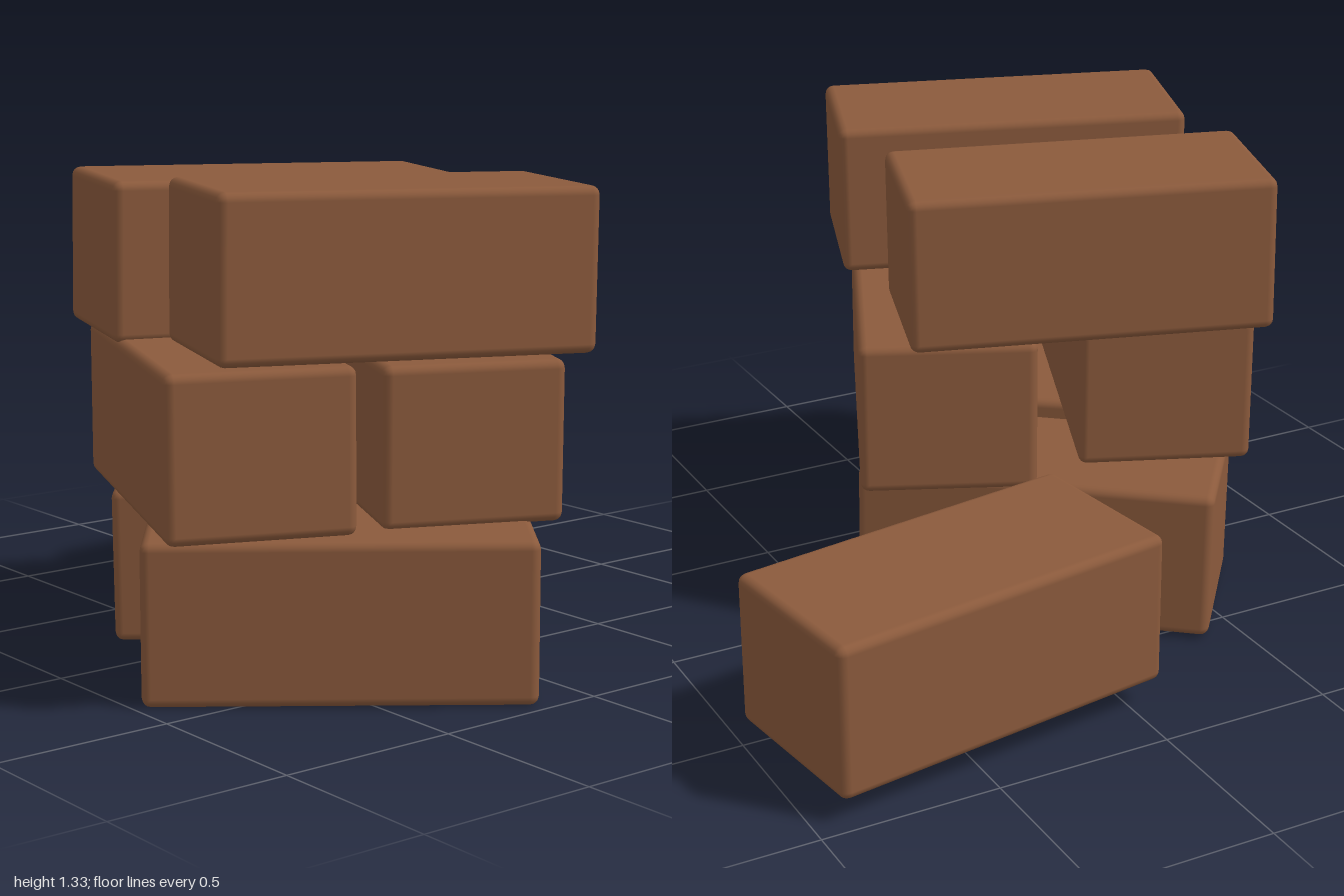
import * as THREE from 'three';
import { RoundedBoxGeometry } from 'three/addons/geometries/RoundedBoxGeometry.js';

export function createModel() {
  const model = new THREE.Group();
  model.name = 'brickPile';
  const clay = new THREE.MeshStandardMaterial({ color: 0x8b5a3c });
  const brickGeometry = new RoundedBoxGeometry(1.02, 0.435, 0.495, 2, 0.025);

  // name, centre, yaw, then slight tilts (pitch, roll) of each brick
  const bricks = [
    // bottom layer
    ['bottomFrontBrick', [-0.43, 0.23, 0.475], -0.65, 0, 0],
    ['bottomBackBrick', [-0.145, 0.238, -0.083], -0.669, 0.012, 0.01],
    // middle layer, laid crosswise
    ['middleLeftBrick', [-0.585, 0.681, 0.14], 1.184, 0, -0.004],
    ['middleRightBrick', [0.025, 0.665, 0.267], 1.153, 0, 0.015],
    // top layer
    ['topBackBrick', [-0.222, 1.1, -0.11], -0.323, 0.008, -0.012],
    ['topFrontBrick', [-0.315, 1.119, 0.508], -0.344, 0, -0.012],
    // loose brick beside the stack
    ['looseBrick', [0.457, 0.304, -0.664], 0.138, -0.01, -0.012],
  ];

  for (const [name, centre, yaw, pitch, roll] of bricks) {
    const brick = new THREE.Mesh(brickGeometry, clay);
    brick.name = name;
    brick.position.set(...centre);
    brick.rotation.set(pitch, yaw, roll, 'YXZ');
    model.add(brick);
  }
  return model;
}
